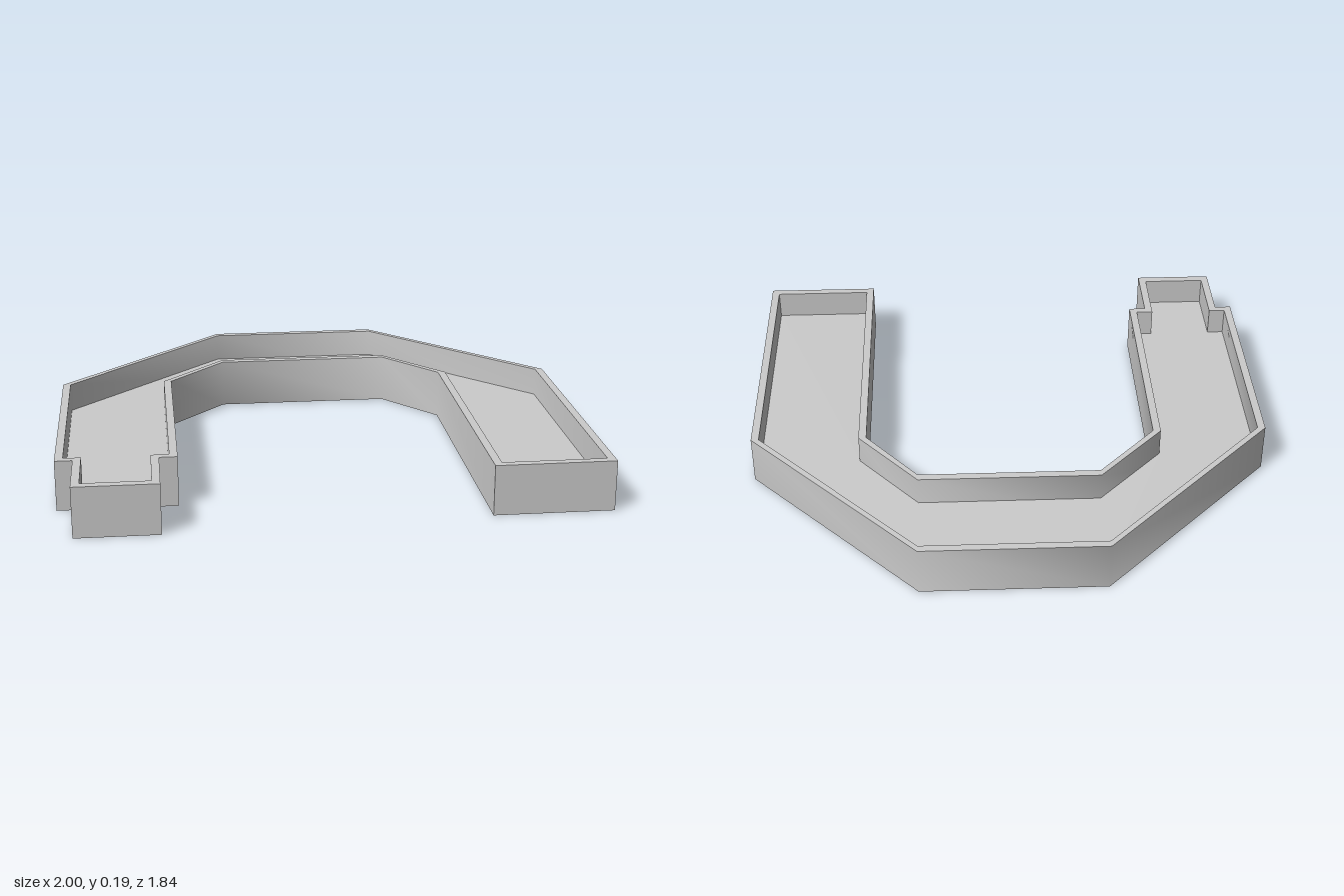
import * as THREE from 'three';
import { toCreasedNormals } from 'three/addons/utils/BufferGeometryUtils.js';

const HEIGHT = 0.19;
const FLOOR = 0.08;

// Plan outlines as [x, z], walked in the same order
const OUTER = [
  [-1, -0.235], [-0.335, -0.918], [0.355, -0.918], [1, -0.235],
  [1, 0.873], [0.555, 0.873], [0.555, -0.235], [0.355, -0.478],
  [-0.335, -0.478], [-0.56, -0.235], [-0.56, 0.658], [-0.627, 0.658],
  [-0.627, 0.918], [-0.935, 0.918], [-0.935, 0.658], [-1, 0.658],
];
const INNER = [
  [-0.97, -0.232], [-0.335, -0.888], [0.355, -0.888], [0.97, -0.232],
  [0.97, 0.842], [0.585, 0.842], [0.585, -0.238], [0.355, -0.509],
  [-0.335, -0.509], [-0.59, -0.238], [-0.59, 0.629], [-0.657, 0.629],
  [-0.657, 0.884], [-0.905, 0.884], [-0.905, 0.629], [-0.97, 0.629],
];

const toPoints = (outline) => outline.map(([x, z]) => new THREE.Vector2(x, -z));

export function createModel() {
  const group = new THREE.Group();
  group.name = 'archTray';
  const material = new THREE.MeshStandardMaterial({ color: 0xcccccc });

  // Extrudes a plan shape upward from the ground; shallow corners stay smooth
  const addSlab = (name, shape, depth) => {
    const geometry = new THREE.ExtrudeGeometry(shape, { depth, bevelEnabled: false });
    geometry.rotateX(-Math.PI / 2);
    const mesh = new THREE.Mesh(toCreasedNormals(geometry, Math.PI / 3), material);
    mesh.name = name;
    group.add(mesh);
  };

  // Thin wall following the whole outline; the hole runs the opposite way round
  const wall = new THREE.Shape(toPoints(OUTER));
  wall.holes.push(new THREE.Path(toPoints(INNER).reverse()));
  addSlab('rimWall', wall, HEIGHT);

  // Recessed floor filling the inside of the wall
  addSlab('trayFloor', new THREE.Shape(toPoints(INNER)), FLOOR);

  return group;
}
